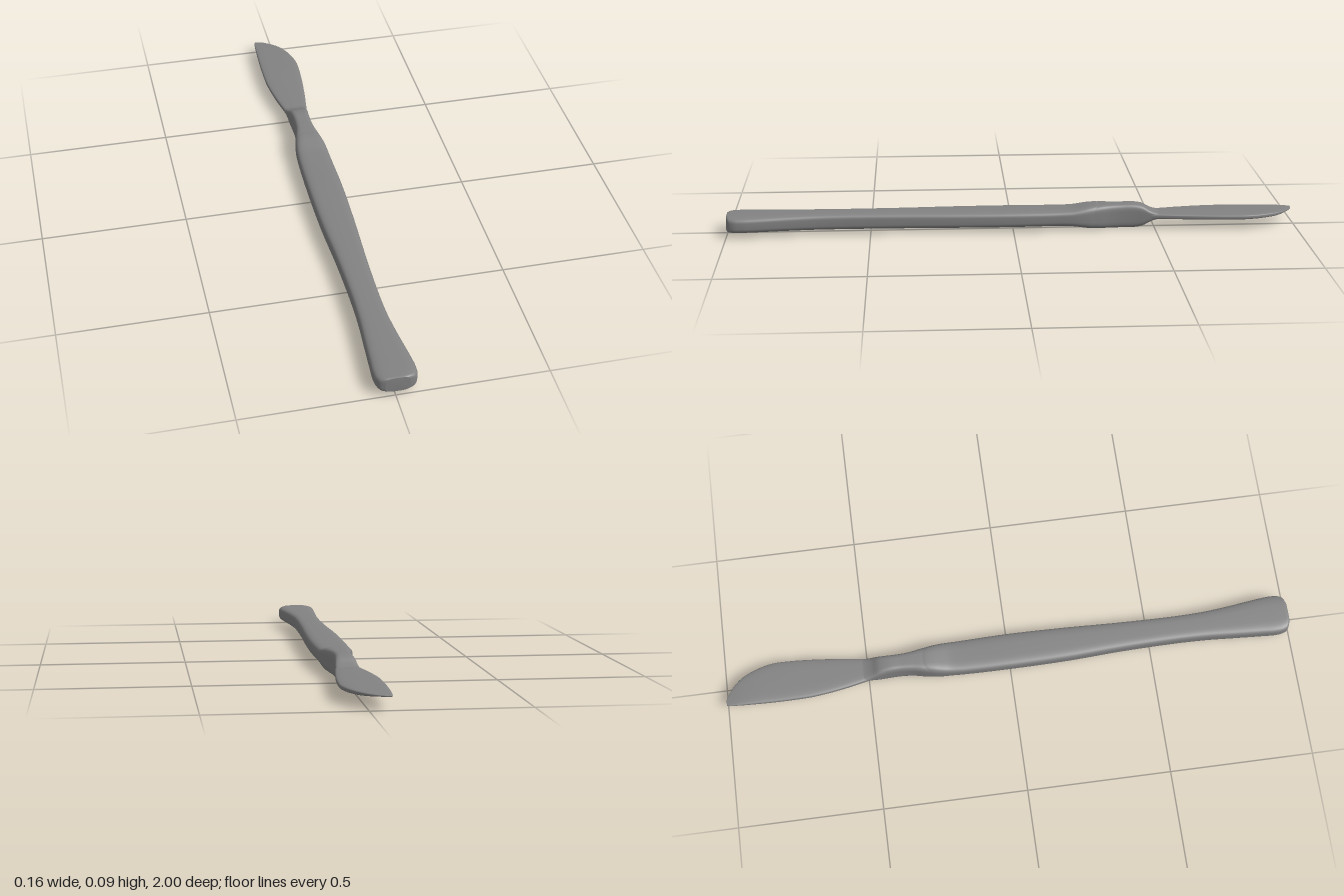
import * as THREE from 'three';

const MID_Y = 0.043;
const SIDES = 48;

// Lofts rounded-rectangle sections along z. Each station: [z, leftmost x, rightmost x, half height]
function loft(stations, power, steps) {
  const zs = stations.map((s) => s[0]);
  const curve = new THREE.CubicInterpolant(zs, stations.flatMap((s) => s.slice(1)), 3, new Float32Array(3));
  const rows = [];
  for (let i = 0; i < zs.length - 1; i++) {
    for (let k = 0; k < steps; k++) rows.push(zs[i] + ((zs[i + 1] - zs[i]) * k) / steps);
  }
  rows.push(zs[zs.length - 1]);

  const positions = [];
  const index = [];
  const bend = (v) => Math.sign(v) * Math.abs(v) ** (2 / power);
  for (const z of rows) {
    const [x0, x1, h] = curve.evaluate(z);
    for (let j = 0; j < SIDES; j++) {
      const a = (j / SIDES) * Math.PI * 2;
      positions.push((x0 + x1) / 2 + ((x1 - x0) / 2) * bend(Math.cos(a)), MID_Y + h * bend(Math.sin(a)), z);
    }
  }

  // side walls
  for (let i = 0; i < rows.length - 1; i++) {
    for (let j = 0; j < SIDES; j++) {
      const a = i * SIDES + j;
      const b = i * SIDES + ((j + 1) % SIDES);
      index.push(a, b, a + SIDES, b, b + SIDES, a + SIDES);
    }
  }
  // end caps share the rim vertices, so the ends shade softly
  [[0, true], [rows.length - 1, false]].forEach(([row, flip]) => {
    const [x0, x1] = curve.evaluate(rows[row]);
    const center = positions.length / 3;
    positions.push((x0 + x1) / 2, MID_Y, rows[row]);
    for (let j = 0; j < SIDES; j++) {
      const a = row * SIDES + j;
      const b = row * SIDES + ((j + 1) % SIDES);
      index.push(center, flip ? b : a, flip ? a : b);
    }
  });

  const geometry = new THREE.BufferGeometry();
  geometry.setAttribute('position', new THREE.Float32BufferAttribute(positions, 3));
  geometry.setIndex(index);
  geometry.computeVertexNormals();
  return geometry;
}

export function createModel() {
  const group = new THREE.Group();
  const material = new THREE.MeshStandardMaterial({ color: 0x828282 });
  const add = (name, geometry) => {
    const mesh = new THREE.Mesh(geometry, material);
    mesh.name = name;
    group.add(mesh);
  };

  // long waisted grip, flared and slightly lopsided at the butt, swelling into the collar
  add('handle', loft([
    [-0.33, -0.035, 0.032, 0.036],
    [-0.3, -0.046, 0.042, 0.0425],
    [-0.27, -0.053, 0.049, 0.041],
    [-0.24, -0.057, 0.053, 0.036],
    [-0.21, -0.059, 0.055, 0.031],
    [-0.17, -0.061, 0.056, 0.029],
    [0, -0.063, 0.06, 0.029],
    [0.2, -0.06, 0.057, 0.029],
    [0.4, -0.05, 0.05, 0.029],
    [0.6, -0.046, 0.047, 0.029],
    [0.7, -0.048, 0.05, 0.029],
    [0.8, -0.054, 0.06, 0.029],
    [0.9, -0.06, 0.073, 0.029],
    [0.95, -0.062, 0.077, 0.029],
    [0.98, -0.057, 0.073, 0.0288],
    [0.994, -0.047, 0.062, 0.0284],
    [1, -0.032, 0.046, 0.027],
  ], 4, 5));

  // narrow collar that pinches down onto the blade
  add('collar', loft([
    [-0.54, -0.047, 0.038, 0.009],
    [-0.51, -0.044, 0.036, 0.012],
    [-0.485, -0.041, 0.035, 0.021],
    [-0.46, -0.038, 0.033, 0.036],
    [-0.43, -0.035, 0.031, 0.0425],
    [-0.38, -0.034, 0.031, 0.043],
    [-0.34, -0.038, 0.035, 0.043],
    [-0.3, -0.047, 0.043, 0.042],
    [-0.27, -0.052, 0.048, 0.038],
    [-0.24, -0.054, 0.05, 0.03],
  ], 4.4, 6));

  // thin blunt-edged blade: near-straight spine on -x, belly curving to the tip on +x
  add('blade', loft([
    [-1, -0.07, -0.05, 0.002],
    [-0.99, -0.072, -0.03, 0.003],
    [-0.95, -0.075, 0.016, 0.007],
    [-0.9, -0.077, 0.044, 0.0095],
    [-0.83, -0.079, 0.063, 0.0105],
    [-0.77, -0.079, 0.064, 0.011],
    [-0.7, -0.077, 0.06, 0.011],
    [-0.6, -0.064, 0.05, 0.011],
    [-0.5, -0.044, 0.037, 0.011],
    [-0.45, -0.035, 0.031, 0.011],
  ], 4, 5));

  return group;
}
